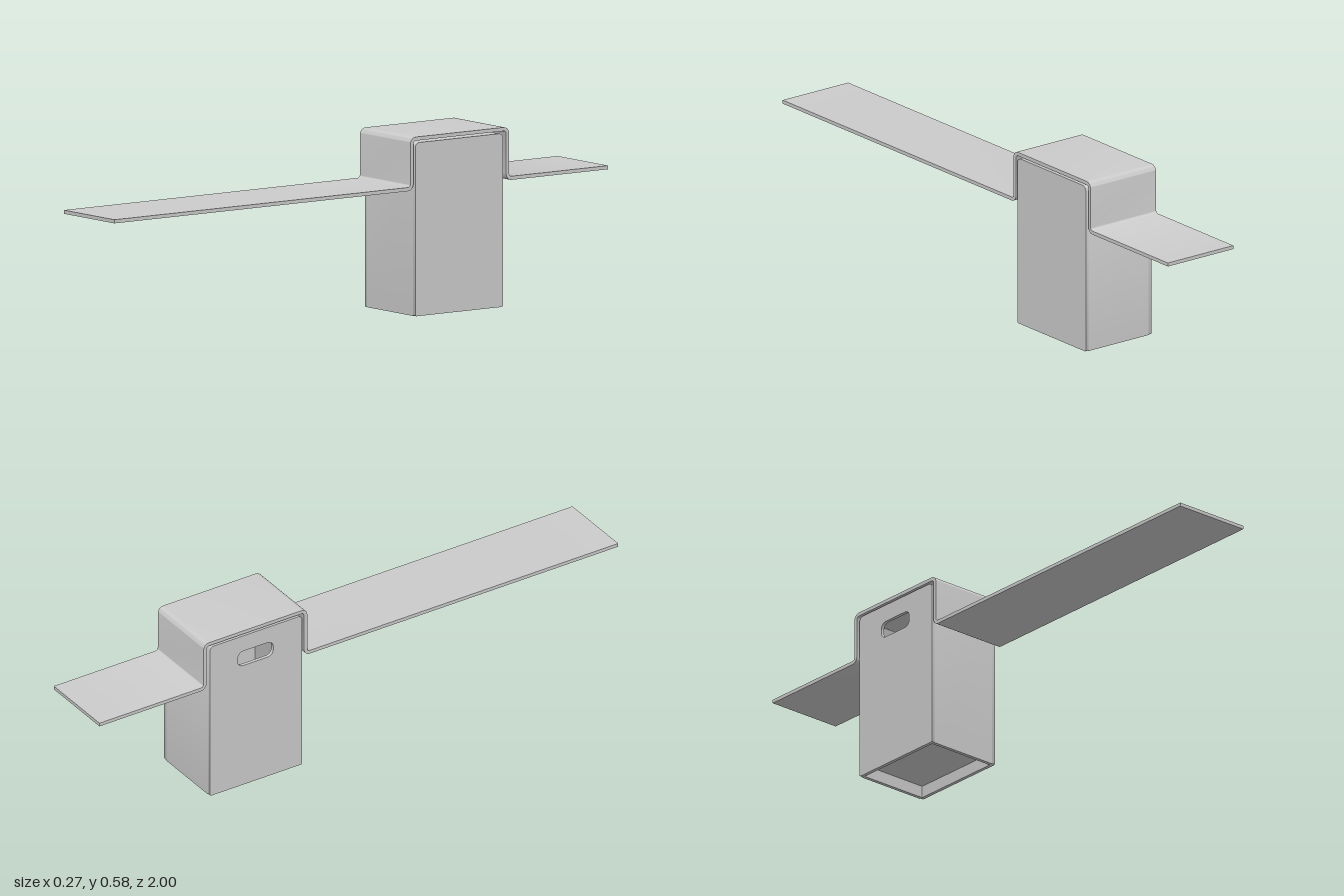
import * as THREE from 'three';
import { toCreasedNormals } from 'three/addons/utils/BufferGeometryUtils.js';

const WIDTH = 0.27, WALL = 0.012;
const material = new THREE.MeshStandardMaterial({ color: 0xcccccc });

// Outline points from corners [z, y, radius]; right-angled corners become arcs
function rounded(corners, steps = 8) {
  const pts = [];
  corners.forEach(([z, y, r = 0], i) => {
    const p = new THREE.Vector2(z, y);
    if (!r) return pts.push(p);
    const toward = (c) => new THREE.Vector2(c[0], c[1]).sub(p).normalize();
    const u = toward(corners.at(i - 1));
    const v = toward(corners[(i + 1) % corners.length]);
    const centre = p.clone().addScaledVector(u, r).addScaledVector(v, r);
    for (let k = 0; k <= steps; k++) {
      const a = (k / steps) * Math.PI / 2;
      pts.push(centre.clone()
        .addScaledVector(v, -r * Math.cos(a))
        .addScaledVector(u, -r * Math.sin(a)));
    }
  });
  return pts;
}

// Extrudes a side profile (z, y) across the width, centred on x
function sideExtrude(name, corners, width, x = 0, hole = null) {
  const shape = new THREE.Shape(rounded(corners));
  if (hole) shape.holes.push(new THREE.Path(rounded(hole)));
  const geo = new THREE.ExtrudeGeometry(shape, { depth: width, bevelEnabled: false });
  geo.rotateY(-Math.PI / 2).translate(width / 2 + x, 0, 0);
  const mesh = new THREE.Mesh(toCreasedNormals(geo, 0.6), material);
  mesh.name = name;
  return mesh;
}

export function createModel() {
  const model = new THREE.Group();
  model.name = 'bentShelfWithBin';

  // Long thin shelf folded up and over the bin
  const low = 0.411, top = 0.585, front = -0.199, back = -0.599, R = 0.022, r = 0.01;
  model.add(sideExtrude('shelf', [
    [1, low], [1, low + WALL],
    [front, low + WALL, r], [front, top, R], [back, top, R], [back, low + WALL, r],
    [-1, low + WALL], [-1, low],
    [back + WALL, low, R], [back + WALL, top - WALL, r],
    [front - WALL, top - WALL, r], [front - WALL, low, R],
  ], WIDTH));

  // Bin: folded shell, two side panels and a recessed base
  const bin = new THREE.Group();
  bin.name = 'bin';
  const z0 = -0.574, z1 = -0.219, h = 0.566;
  const panel = [[z0, 0, 0.005], [z1, 0, 0.005], [z1, h, 0.016], [z0, h, 0.016]];
  const slot = [[-0.467, 0.453, 0.022], [-0.33, 0.453, 0.022], [-0.33, 0.508, 0.022], [-0.467, 0.508, 0.022]];
  bin.add(sideExtrude('binShell', [
    [z0, 0], [z0 + WALL, 0], [z0 + WALL, h - WALL, 0.004], [z1 - WALL, h - WALL, 0.004],
    [z1 - WALL, 0], [z1, 0], [z1, h, 0.016], [z0, h, 0.016],
  ], WIDTH - 2 * WALL));
  const panelX = (WIDTH - WALL) / 2;
  bin.add(sideExtrude('leftPanel', panel, WALL, panelX));
  bin.add(sideExtrude('rightPanelWithHandleSlot', panel, WALL, -panelX, slot));

  const base = new THREE.Mesh(
    new THREE.BoxGeometry(WIDTH - 2 * WALL, WALL, z1 - z0 - 2 * WALL), material);
  base.position.set(0, 0.04 + WALL / 2, (z0 + z1) / 2);
  base.name = 'binBase';
  bin.add(base);

  model.add(bin);
  return model;
}
